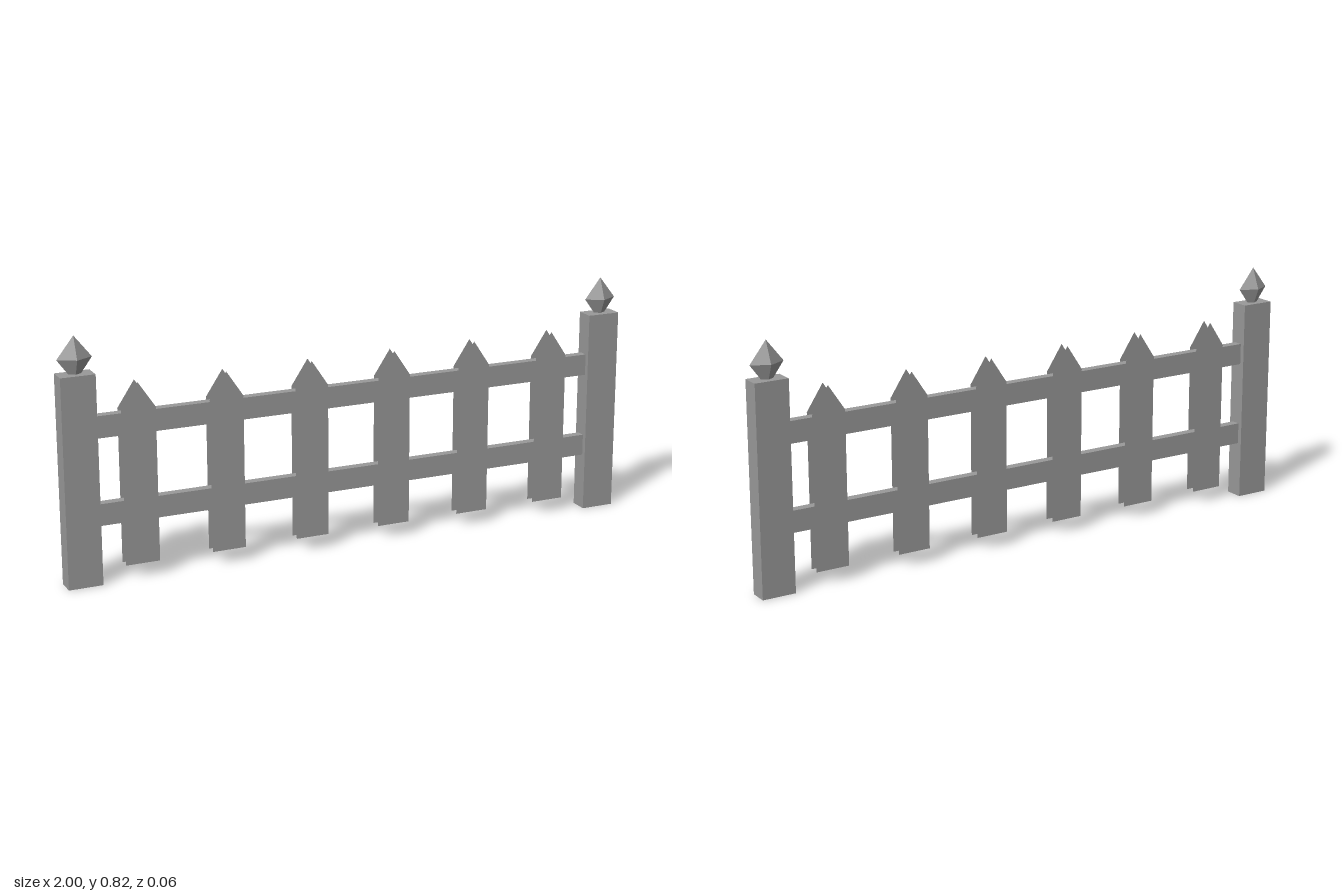
import * as THREE from 'three';

export function createModel() {
  const fence = new THREE.Group();
  fence.name = 'fence';
  const grey = new THREE.MeshStandardMaterial({ color: 0x999999, side: THREE.DoubleSide, flatShading: true });
  grey.name = 'grey';

  const add = (name, geometry, x, y, z) => {
    const mesh = new THREE.Mesh(geometry, grey);
    mesh.name = name;
    mesh.position.set(x, y, z);
    fence.add(mesh);
    return mesh;
  };

  // End posts, each topped with a flattened four-sided spike
  const postGeometry = new THREE.BoxGeometry(0.115, 0.7, 0.064);
  const finialGeometry = new THREE.LatheGeometry([
    new THREE.Vector2(0.36, 0.7),
    new THREE.Vector2(1, 0.75),
    new THREE.Vector2(0, 0.823),
  ], 4).toNonIndexed();
  finialGeometry.scale(0.0575, 1, 0.032);
  finialGeometry.computeVertexNormals();
  for (const side of [-1, 1]) {
    const name = side > 0 ? 'left' : 'right';
    add(name + 'Post', postGeometry, side * 0.9425, 0.35, 0);
    add(name + 'Finial', finialGeometry, side * 0.9425, 0, 0);
  }

  // Two horizontal rails between the posts
  const railGeometry = new THREE.BoxGeometry(1.77, 0.073, 0.031);
  add('lowerRail', railGeometry, 0, 0.231, 0);
  add('upperRail', railGeometry, 0, 0.522, 0);

  // Thin pointed pickets on both faces of the rails
  const outline = new THREE.Shape([
    [-0.058, 0.048], [0.058, 0.048], [0.058, 0.567], [0, 0.654], [-0.058, 0.567],
  ].map(([x, y]) => new THREE.Vector2(x, y)));
  const picketGeometry = new THREE.ShapeGeometry(outline);
  for (let i = 0; i < 6; i++) {
    const x = (i - 2.5) * 0.298;
    add('frontPicket', picketGeometry, x, 0, 0.0175);
    add('backPicket', picketGeometry, x, 0, -0.0175).rotation.y = Math.PI;
  }
  return fence;
}
